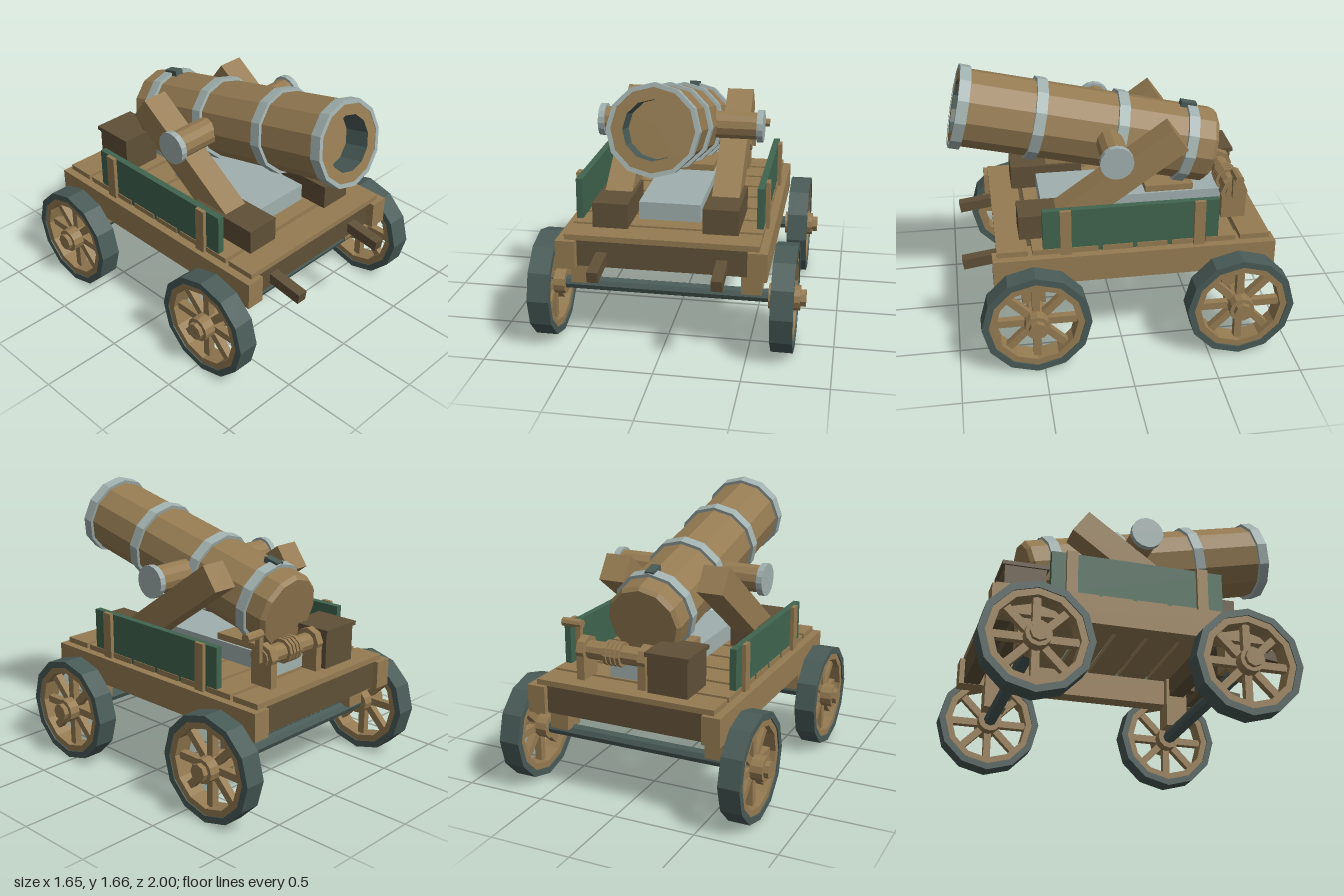
import * as THREE from 'three';

const mat = (name, color) => Object.assign(new THREE.MeshStandardMaterial({ color }), { name });

export function createModel() {
  const wood = mat('wood', 0x957b52), darkWood = mat('dark wood', 0x605038);
  const metal = mat('pale metal', 0xa0b0ae), green = mat('green paint', 0x40644f);
  const slate = mat('slate iron', 0x495b57);
  const root = new THREE.Group();
  root.name = 'cannonCart';

  // Faceted mesh helper
  const add = (parent, name, geo, material, x = 0, y = 0, z = 0) => {
    const g = geo.index ? geo.toNonIndexed() : geo;
    g.computeVertexNormals();
    const mesh = new THREE.Mesh(g, material);
    mesh.name = name;
    mesh.position.set(x, y, z);
    parent.add(mesh);
    return mesh;
  };
  // Box given by its limits
  const box = (parent, name, m, x0, x1, y0, y1, z0, z1) =>
    add(parent, name, new THREE.BoxGeometry(x1 - x0, y1 - y0, z1 - z0), m, (x0 + x1) / 2, (y0 + y1) / 2, (z0 + z1) / 2);
  // Cylinder along x
  const rod = (parent, name, m, r, x0, x1, y, z, sides = 12) =>
    add(parent, name, new THREE.CylinderGeometry(r, r, Math.abs(x1 - x0), sides).rotateZ(-Math.PI / 2), m, (x0 + x1) / 2, y, z);
  const lathe = (pts, sides = 12) => new THREE.LatheGeometry(pts.map(p => new THREE.Vector2(...p)), sides);
  const ring = (ri, ro, y0, y1) => lathe([[ri, y0], [ro, y0], [ro, y1], [ri, y1], [ri, y0]]);
  const group = (name, x, y, z) => {
    const g = new THREE.Group();
    g.name = name;
    g.position.set(x, y, z);
    root.add(g);
    return g;
  };

  // Wheels, axles and axle brackets
  const axleY = 0.328;
  for (const z of [0.54, -0.68]) {
    rod(root, 'axle', slate, 0.042, -0.63, 0.63, axleY, z, 8);
    box(root, 'axleBeam', darkWood, -0.45, 0.45, 0.56, 0.68, z - 0.05, z + 0.05);
    for (const s of [-1, 1]) {
      box(root, 'axleBracket', wood, s * 0.51 - 0.06, s * 0.51 + 0.06, 0.355, 0.68, z - 0.07, z + 0.07);
      const wheel = group('wheel', s * 0.705, axleY, z);
      add(wheel, 'tire', ring(0.283, 0.324, -0.065, 0.065).rotateZ(-Math.PI / 2), slate);
      add(wheel, 'rim', ring(0.243, 0.284, -0.057, 0.057).rotateZ(-Math.PI / 2), wood);
      for (let i = 0; i < 8; i++) {
        const a = i * Math.PI / 4;
        const spoke = add(wheel, 'spoke', new THREE.BoxGeometry(0.045, 0.21, 0.045), wood,
          0, Math.cos(a) * 0.155, Math.sin(a) * 0.155);
        spoke.rotation.x = a;
      }
      rod(wheel, 'hub', wood, 0.075, -0.095, 0.09, 0, 0);
      rod(wheel, 'hubNut', wood, 0.053, s * 0.08, s * 0.122, 0, 0, 8);
    }
  }

  // Cart bed: rails, cross beams, deck planks
  for (const s of [-1, 1]) box(root, 'sideRail', wood, s * 0.558 - 0.057, s * 0.558 + 0.057, 0.513, 0.683, -0.912, 0.773);
  for (const z of [0.67, -0.83]) box(root, 'crossBeam', darkWood, -0.5, 0.5, 0.515, 0.682, z - 0.05, z + 0.05);
  for (let i = 0; i < 8; i++) {
    const z = -0.885 + i * 0.207;
    box(root, 'deckPlank', wood, -0.566, 0.566, 0.682, 0.716, z, z + 0.181);
  }

  for (const s of [-1, 1]) {
    // Drawbars at the front
    const bar = add(root, 'drawbar', new THREE.BoxGeometry(0.065, 0.065, 0.38), darkWood, s * 0.352, 0.571, 0.755);
    bar.rotation.x = 0.14;
    // Painted side boards with posts
    box(root, 'sideBoard', green, s * 0.541 - 0.02, s * 0.541 + 0.02, 0.685, 0.963, -0.57, 0.475);
    for (const z of [0.342, -0.452])
      box(root, 'boardPost', wood, s * 0.573 - 0.012, s * 0.573 + 0.012, 0.68, 0.968, z - 0.033, z + 0.033);
    // Foot block and slanted support arm
    box(root, 'footBlock', darkWood, s * 0.325 - 0.105, s * 0.325 + 0.105, 0.716, 0.867, 0.15, 0.605);
    const arm = add(root, 'supportArm', new THREE.BoxGeometry(0.165, 0.172, 0.9), wood, s * 0.323, 1.026, 0.006);
    arm.rotation.x = 0.62;
    // Trunnions with metal caps
    rod(root, 'trunnion', wood, 0.085, s * 0.15, s * 0.475, 1.213, 0.03);
    rod(root, 'trunnionCap', metal, 0.1, s * 0.47, s * 0.508, 1.213, 0.03, 16);
  }

  // Metal bed plate and breech rest
  box(root, 'bedPlate', metal, -0.185, 0.185, 0.725, 0.833, -0.3, 0.45);
  box(root, 'bedPlateTail', metal, -0.09, 0.185, 0.725, 0.833, -0.685, -0.3);
  box(root, 'breechRest', wood, -0.17, 0.17, 0.833, 0.873, -0.5, -0.2);

  // Barrel, built along local y with the muzzle at the origin
  const barrel = group('barrel', 0, 1.418, 0.934);
  barrel.rotation.x = Math.PI / 2 - 0.23;
  add(barrel, 'barrelBody', lathe([[0, -1.6], [0.215, -1.6], [0.235, -1.575], [0.235, -0.005], [0.165, -0.005]]), wood);
  add(barrel, 'boreWall', lathe([[0.165, -0.005], [0.165, -0.16]]), slate);
  add(barrel, 'boreFloor', lathe([[0.165, -0.16], [0, -0.16]]), wood);
  for (const d of [0.033, 0.49, 0.99, 1.43]) add(barrel, 'barrelBand', ring(0.23, 0.255, -d - 0.033, -d + 0.033), metal);
  add(barrel, 'ventBlock', new THREE.BoxGeometry(0.055, 0.1, 0.045), slate, 0, -1.405, -0.24);

  // Winch
  const wy = 0.885, wz = -0.715;
  for (const x of [-0.075, 0.325]) {
    box(root, 'winchPost', wood, x - 0.025, x + 0.025, 0.716, wy, wz - 0.075, wz + 0.075);
    rod(root, 'winchPostTop', wood, 0.085, x - 0.025, x + 0.025, wy, wz, 8);
  }
  rod(root, 'winchDrum', wood, 0.055, -0.1, 0.36, wy, wz, 10);
  for (let i = 0; i < 4; i++) rod(root, 'ropeCoil', wood, 0.075, 0.075 + i * 0.029, 0.095 + i * 0.029, wy, wz, 10);
  box(root, 'crankArm', wood, 0.355, 0.385, wy - 0.02, 1.03, wz - 0.018, wz + 0.018);
  rod(root, 'crankHandle', wood, 0.028, 0.35, 0.478, 1.03, wz + 0.005, 8);

  // Storage chest
  box(root, 'chest', darkWood, -0.37, -0.12, 0.716, 0.94, -0.805, -0.555);
  box(root, 'chestLid', darkWood, -0.382, -0.108, 0.935, 0.96, -0.82, -0.54);

  return root;
}
